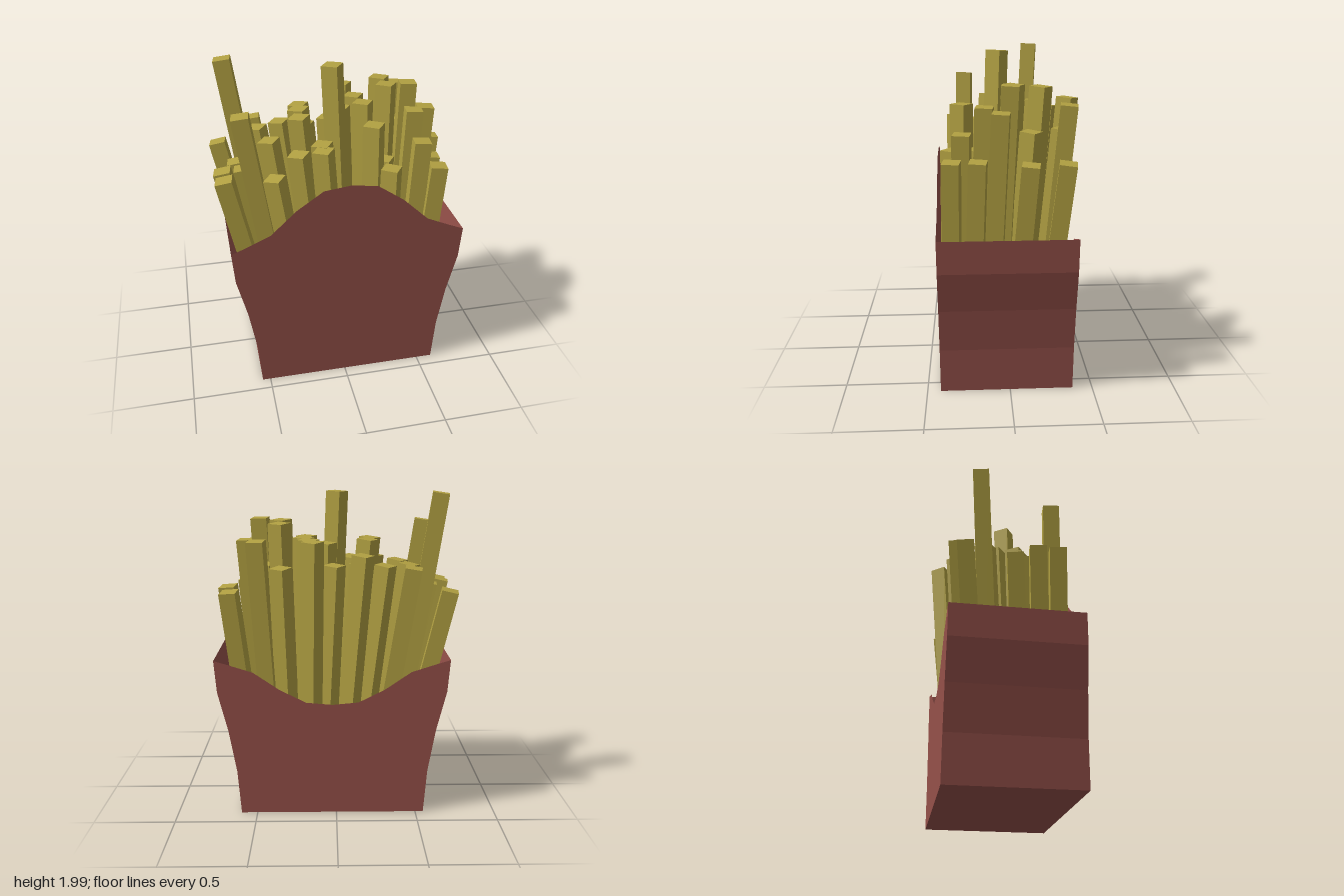
import * as THREE from 'three';

const FRONT = 0.42, BACK = -0.38, MID = 0.025;

// Half-width of the carton at each height
const SIDE = [[0.575, 0], [0.595, 0.28], [0.64, 0.55], [0.7, 0.8], [0.715, 1]];

// Wave of the panel edges, from the corner to the middle: [offset, rise]
const WAVE = [[0.64, 0.03], [0.48, 0.1], [0.32, 0.25], [0.16, 0.36], [0, 0.38]];

// Tops of the fries: [x, z, height]; without a height the usual one is used
const FRIES = [
  [-0.685, -0.29], [-0.625, -0.195, 1.98], [-0.46, -0.32], [-0.45, -0.14], [-0.3, -0.21],
  [-0.16, -0.29, 1.62], [-0.15, -0.14], [0.01, -0.21], [0.14, -0.37, 1.71], [0.17, -0.17, 1.7],
  [0.06, -0.06, 1.67], [-0.2, -0.04, 1.69], [-0.01, 0.05, 1.98], [-0.6, 0.02], [-0.4, 0.07],
  [-0.22, 0.09, 1.69], [-0.1, 0.19], [-0.11, 0.28], [-0.69, 0.14], [-0.57, 0.12],
  [-0.69, 0.26], [-0.575, 0.255, 1.79], [-0.4, 0.28, 1.4], [-0.26, 0.3], [0.2, -0.04, 1.7],
  [0.33, -0.32], [0.34, -0.19, 1.8], [0.34, -0.03, 1.81], [0.42, -0.13], [0.47, -0.34, 1.71],
  [0.64, -0.32], [0.67, -0.11], [0.47, -0.01, 1.82], [0.57, 0.05, 1.68], [0.47, 0.14, 1.7],
  [0.58, 0.18], [0.28, 0.19, 1.42], [0.19, 0.27, 1.68], [0.29, 0.33, 1.42], [0.49, 0.27],
  [0.58, 0.33],
];

export function createModel() {
  const group = new THREE.Group();
  const red = new THREE.MeshStandardMaterial({ color: 0x96514a, side: THREE.DoubleSide, flatShading: true });
  const yellow = new THREE.MeshStandardMaterial({ color: 0xb2a142, flatShading: true });

  const addGroup = (name) => {
    const part = new THREE.Group();
    part.name = name;
    group.add(part);
    return part;
  };
  const add = (name, geometry, material, parent) => {
    const mesh = new THREE.Mesh(geometry, material);
    mesh.name = name;
    parent.add(mesh);
    return mesh;
  };

  // Carton: tapered panels, the front edge rising and the back edge dipping
  const carton = addGroup('carton');
  const panel = (name, rise, z) => {
    const half = [...SIDE, ...WAVE.map(([x, y]) => [x, 1 + rise * y])];
    const mirrored = half.slice(0, -1).reverse().map(([x, y]) => [-x, y]);
    const shape = new THREE.Shape([...half, ...mirrored].map(([x, y]) => new THREE.Vector2(x, y)));
    add(name, new THREE.ShapeGeometry(shape), red, carton).position.set(MID, 0, z);
  };
  panel('frontPanel', 1, FRONT);
  panel('backPanel', -0.74, BACK);

  // Side walls follow the same taper
  for (const [name, s] of [['leftWall', 1], ['rightWall', -1]]) {
    const wall = new THREE.PlaneGeometry(1, 1, 1, SIDE.length - 1);
    const p = wall.attributes.position;
    for (let i = 0; i < p.count; i++) {
      const [w, y] = SIDE[SIDE.length - 1 - Math.floor(i / 2)];
      p.setXYZ(i, MID + s * w, y, (i % 2 === 0) === (s > 0) ? FRONT : BACK);
    }
    wall.computeVertexNormals();
    add(name, wall, red, carton);
  }

  // Floor
  const floor = new THREE.PlaneGeometry(SIDE[0][0] * 2, FRONT - BACK).rotateX(Math.PI / 2);
  add('floor', floor, red, carton).position.set(MID, 0, (FRONT + BACK) / 2);

  // Fries: square sticks fanning out from the floor; the outer ones are shorter and less turned
  const fries = addGroup('fries');
  const up = new THREE.Vector3(0, 1, 0);
  for (const [x, z, height] of FRIES) {
    const y = height ?? (Math.abs(x) > 0.5 ? 1.41 : 1.55);
    const turn = Math.abs(x) > 0.45 ? -8 : -34;
    const top = new THREE.Vector3(x, y, z);
    const bottom = new THREE.Vector3(0.68 * x + 0.07, 0.03, 0.82 * z + 0.08);
    const axis = top.clone().sub(bottom);
    const fry = add('fry', new THREE.BoxGeometry(0.1, axis.length(), 0.1), yellow, fries);
    fry.position.copy(top).add(bottom).multiplyScalar(0.5);
    fry.quaternion.setFromUnitVectors(up, axis.normalize());
    fry.rotateY(THREE.MathUtils.degToRad(turn));
  }
  return group;
}
